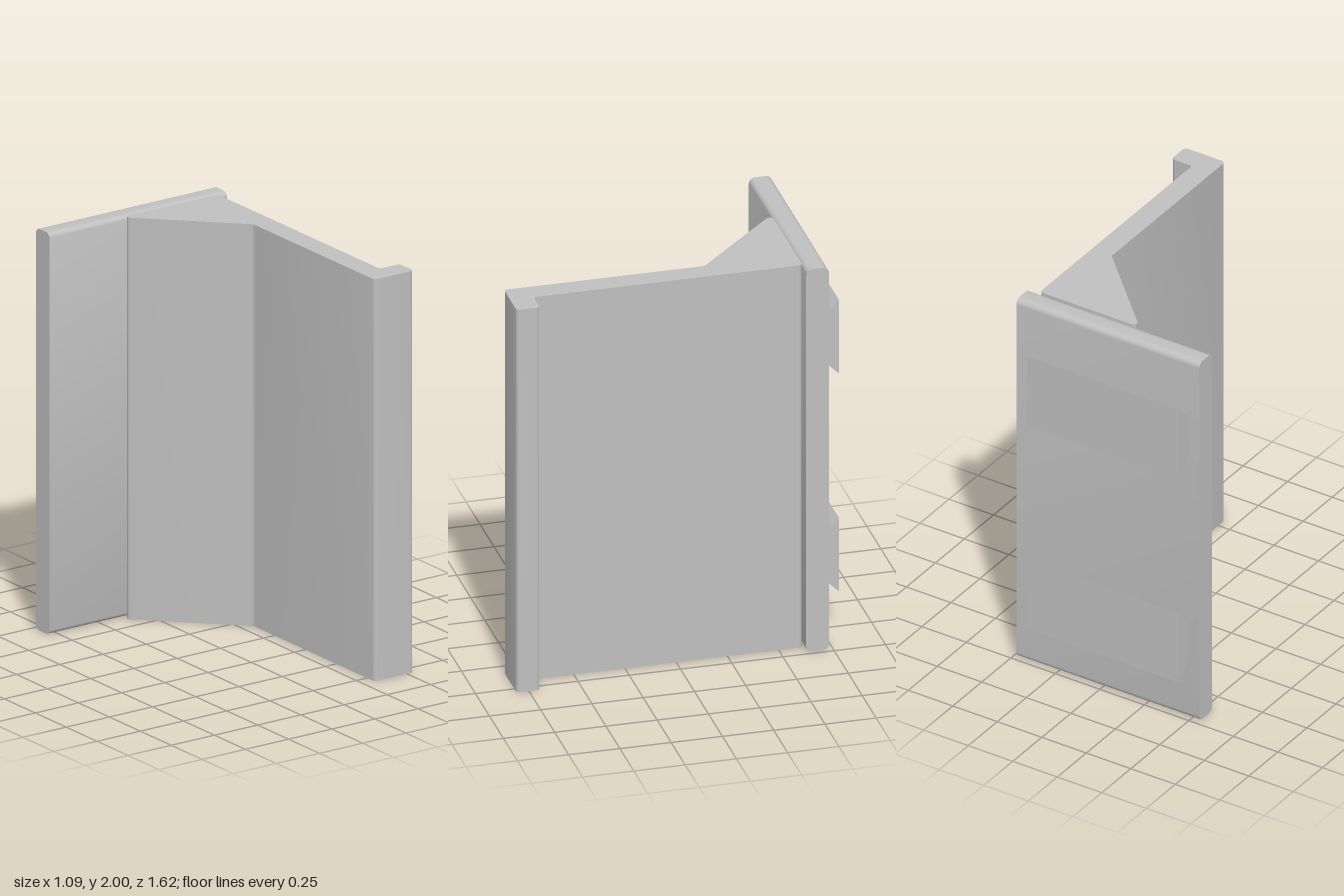
import * as THREE from 'three';
import { toCreasedNormals } from 'three/addons/utils/BufferGeometryUtils.js';

// Closed shape through [x, y, radius] corners, each rounded by a true arc
function roundedShape(corners, steps = 6) {
  const pts = [];
  corners.forEach(([x, y, r = 0], i) => {
    const n = corners.length;
    const p = new THREE.Vector2(x, y);
    if (!r) return pts.push(p);
    const toward = ([cx, cy]) => new THREE.Vector2(cx - x, cy - y).normalize();
    const a = toward(corners[(i + n - 1) % n]);
    const b = toward(corners[(i + 1) % n]);
    const half = Math.acos(a.dot(b)) / 2;
    const centre = a.clone().add(b).normalize().multiplyScalar(r / Math.sin(half)).add(p);
    const start = a.clone().multiplyScalar(r / Math.tan(half)).add(p).sub(centre);
    const sweep = (Math.PI - 2 * half) * Math.sign(a.cross(b)) * -1;
    for (let k = 0; k <= steps; k++) {
      pts.push(start.clone().rotateAround(new THREE.Vector2(), sweep * k / steps).add(centre));
    }
  });
  return new THREE.Shape(pts);
}

function extrude(corners, depth) {
  const shape = roundedShape(corners);
  return new THREE.ExtrudeGeometry(shape, { depth, bevelEnabled: false });
}

// Profile of [z, y, radius] corners swept from x0 to x1
function sweepX(corners, x0, x1) {
  const g = extrude(corners.map(([z, y, r]) => [-z, y, r]), x1 - x0);
  return toCreasedNormals(g.rotateY(Math.PI / 2).translate(x0, 0, 0), 0.5);
}

// Profile of [x, z, radius] corners swept upward from the ground
function sweepY(corners, height) {
  const g = extrude(corners.map(([x, z, r]) => [x, -z, r]), height);
  return toCreasedNormals(g.rotateX(-Math.PI / 2), 0.5);
}

export function createModel() {
  const model = new THREE.Group();
  model.name = 'bracket';
  const grey = new THREE.MeshStandardMaterial({ color: 0xc0c0c0 });
  grey.name = 'grey';
  const add = (name, geometry) => {
    const mesh = new THREE.Mesh(geometry, grey);
    mesh.name = name;
    model.add(mesh);
  };

  // Arm with a sloped gusset at the back and a hooked lip at the front
  add('hookedArm', sweepY([
    [-0.135, -0.616, 0.019], [0.425, -0.616, 0.02],
    [0.425, 0.695, 0.02], [0.54, 0.695, 0.02],
    [0.54, 0.81, 0.02], [0.313, 0.81, 0.02],
    [0.313, -0.168, 0.02],
  ], 2));

  // Back plate, rounded along its top and bottom edges
  const r = 0.03;
  add('backPlate', sweepX([
    [-0.73, 0, r], [-0.618, 0, r], [-0.618, 2, r], [-0.73, 2, r],
  ], -0.545, 0.482));

  // Two dovetail rails that widen away from the plate
  for (const [name, y] of [['lowerDovetail', 0.432], ['upperDovetail', 1.572]]) {
    add(name, sweepX([
      [-0.728, y - 0.112], [-0.728, y + 0.112], [-0.81, y + 0.192], [-0.81, y - 0.192],
    ], -0.485, 0.367));
  }

  return model;
}
